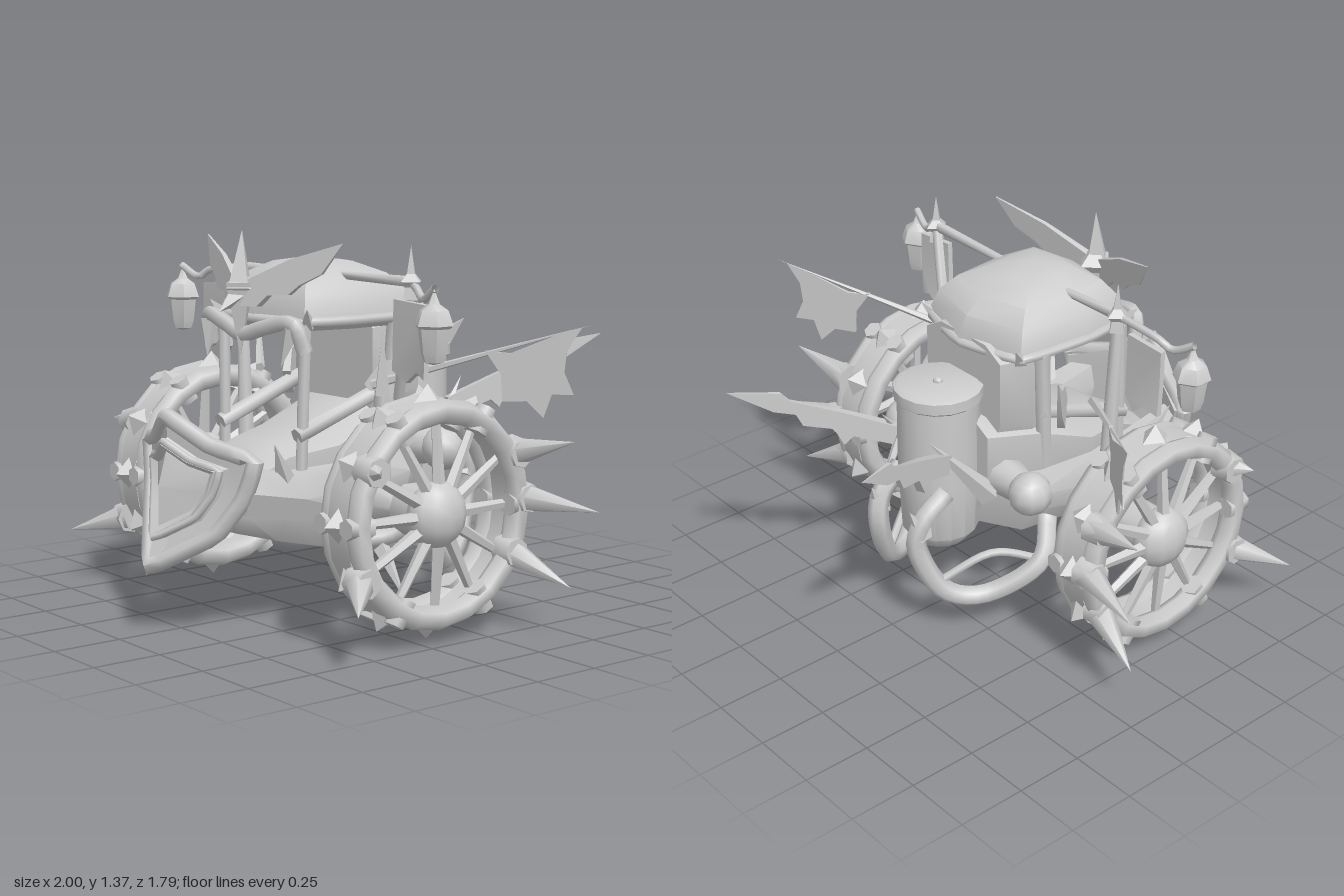
import * as THREE from 'three';
import { toCreasedNormals } from 'three/addons/utils/BufferGeometryUtils.js';

const V = (p) => new THREE.Vector3(...p);

export function createModel() {
  const root = new THREE.Group();
  root.name = 'warChariot';
  const grey = new THREE.MeshStandardMaterial({ color: 0xcccccc, side: THREE.DoubleSide });

  // ---- helpers ----
  const add = (parent, name, geo, crease = 0.7) => {
    const m = new THREE.Mesh(toCreasedNormals(geo, crease), grey);
    m.name = name;
    parent.add(m);
    return m;
  };
  const group = (parent, name) => {
    const g = new THREE.Group();
    g.name = name;
    parent.add(g);
    return g;
  };
  // tapered rod from a to b
  const rod = (parent, name, a, b, ra, rb = ra, sides = 6) => {
    const A = V(a), d = V(b).sub(A), len = d.length();
    const geo = new THREE.CylinderGeometry(rb, ra, len, sides).translate(0, len / 2, 0);
    const m = add(parent, name, geo, 1.1);
    m.position.copy(A);
    m.quaternion.setFromUnitVectors(new THREE.Vector3(0, 1, 0), d.normalize());
    return m;
  };
  const spike = (parent, name, a, b, r, sides = 5) => rod(parent, name, a, b, r, 0, sides);
  const tube = (parent, name, pts, r, closed = false, tension = 0.5, segs = pts.length * 4) =>
    add(parent, name, new THREE.TubeGeometry(
      new THREE.CatmullRomCurve3(pts.map(V), closed, 'catmullrom', tension), segs, r, 6, closed), 1.1);
  // skin over closed rings of equal length, with end caps
  const loft = (rings) => {
    const n = rings[0].length, pos = rings.flat(2), idx = [], last = rings.length - 1;
    for (let i = 0; i < last; i++) for (let j = 0; j < n; j++) {
      const a = i * n + j, b = i * n + (j + 1) % n;
      idx.push(a, b, b + n, a, b + n, a + n);
    }
    for (let j = 1; j < n - 1; j++) {
      idx.push(0, j + 1, j, last * n, last * n + j, last * n + j + 1);
    }
    const g = new THREE.BufferGeometry();
    g.setAttribute('position', new THREE.Float32BufferAttribute(pos, 3));
    g.setIndex(idx);
    return g;
  };
  const plate = (pts, depth) => new THREE.ExtrudeGeometry(
    new THREE.Shape(pts.map((p) => new THREE.Vector2(...p))), { depth, bevelEnabled: false }).translate(0, 0, -depth / 2);
  const bend = (geo, rule) => {
    const p = geo.attributes.position;
    for (let i = 0; i < p.count; i++) p.setZ(i, rule(p.getX(i), p.getY(i), p.getZ(i)));
    return geo;
  };
  // plate whose local x axis runs from a to b, thinning towards b
  const plateAlong = (parent, name, pts, depth, a, b) => {
    const x = V(b).sub(V(a)), len = x.length();
    x.normalize();
    const z = new THREE.Vector3().crossVectors(x, new THREE.Vector3(0, 1, 0)).normalize();
    const y = new THREE.Vector3().crossVectors(z, x);
    const m = add(parent, name, bend(plate(pts, depth), (px, py, pz) => pz * Math.max(0.05, 1 - px / len)));
    m.quaternion.setFromRotationMatrix(new THREE.Matrix4().makeBasis(x, y, z));
    m.position.copy(V(a));
  };

  // ---- hull, seat back and nose ----
  const section = (z, w, y0, y1) => {
    const c = w * 0.4, h = (y1 - y0) * 0.35;
    return [[w - c, y0, z], [w, y0 + h, z], [w, y1 - h * 0.3, z], [w - c, y1, z],
      [c - w, y1, z], [-w, y1 - h * 0.3, z], [-w, y0 + h, z], [c - w, y0, z]];
  };
  add(root, 'hull', loft([section(-0.2, 0.19, 0.4, 0.82), section(0, 0.25, 0.29, 0.8), section(0.25, 0.25, 0.26, 0.68),
    section(0.43, 0.2, 0.3, 0.64), section(0.58, 0.15, 0.34, 0.54), section(0.66, 0.09, 0.4, 0.5)]), 0.9);
  add(root, 'seatBack', loft([section(-0.15, 0.2, 0.65, 1.1), section(-0.02, 0.23, 0.6, 1.1), section(0.07, 0.21, 0.6, 1.08)]));

  // ---- roof ----
  const outline = [[0.28, 0.2], [0.25, -0.1], [0, -0.17], [-0.25, -0.1], [-0.28, 0.2], [-0.25, 0.4], [0, 0.44], [0.25, 0.4]];
  const roofRing = (s, y) => outline.map(([x, z]) => [x * s, y, 0.19 + (z - 0.19) * s]);
  add(root, 'roof', loft([roofRing(0.92, 1.04), roofRing(1, 1.06), roofRing(0.98, 1.1), roofRing(0.9, 1.165),
    roofRing(0.72, 1.22), roofRing(0.4, 1.262), roofRing(0.02, 1.278)]), 0.6);
  tube(root, 'roofRim', roofRing(0.98, 1.07), 0.018, true, 0.1, 32);
  tube(root, 'frontBeam', [[-0.28, 0.97, 0.42], [-0.25, 1.07, 0.45], [-0.12, 1.05, 0.47], [0, 1.02, 0.48],
    [0.12, 1.05, 0.47], [0.25, 1.07, 0.45], [0.28, 0.97, 0.42]], 0.028);

  // ---- winged crest above the front beam ----
  const crest = group(root, 'crest');
  spike(crest, 'crestTop', [0, 1.2, 0.49], [0, 1.38, 0.48], 0.045, 4);
  spike(crest, 'crestTail', [0, 1.2, 0.49], [0, 0.94, 0.49], 0.06, 4);
  spike(crest, 'crestBeak', [0, 1.17, 0.48], [0, 1.1, 0.58], 0.05, 4);
  add(crest, 'crestBody', new THREE.OctahedronGeometry(0.07).translate(0, 1.18, 0.48));

  // ---- rear barrel ----
  const barrel = add(root, 'barrel', new THREE.LatheGeometry([[0, 0.31], [0.1, 0.32], [0.14, 0.37], [0.15, 0.6], [0.148, 0.89],
    [0.16, 0.9], [0.16, 0.94], [0.14, 0.95], [0, 0.95]].map((p) => new THREE.Vector2(...p)), 16));
  barrel.position.z = -0.265;
  add(root, 'barrelKnob', new THREE.SphereGeometry(0.018, 8, 6).translate(0, 0.95, -0.265));

  // ---- pointed prow shield ----
  const prow = group(root, 'prowShield');
  const rim = [[0, 0.76, 0.8], [-0.16, 0.67, 0.73], [-0.32, 0.63, 0.66], [-0.28, 0.5, 0.68], [-0.2, 0.37, 0.74],
    [0, 0.25, 0.87], [0.2, 0.37, 0.74], [0.28, 0.5, 0.68], [0.32, 0.63, 0.66], [0.16, 0.67, 0.73]];
  const inset = (s, dz) => rim.map(([x, y, z]) => [x * s, 0.52 + (y - 0.52) * s, 0.825 + (z - 0.825) * s + dz]);
  add(prow, 'shieldPlate', loft([inset(0.92, -0.04), inset(0.98, 0), inset(0.7, -0.01), inset(0.6, 0.015),
    inset(0.5, -0.01), inset(0.02, 0.01)]), 0.4);
  tube(prow, 'shieldRim', rim, 0.03, true, 0.1, 40);
  tube(prow, 'shieldInnerRim', inset(0.64, 0.005), 0.014, true, 0.1, 40);
  spike(prow, 'shieldTip', [0, 0.34, 0.82], [0, 0.22, 0.89], 0.045, 4);

  // ---- parts repeated on both sides ----
  const buildSide = (s) => {
    const g = group(root, s > 0 ? 'leftSide' : 'rightSide');
    g.scale.x = s;

    // wheel: two rims, tread, studs, spokes, dome
    const wheel = group(g, 'wheel');
    wheel.position.set(0.635, 0.45, 0.18);
    for (const x of [-0.068, 0.068]) {
      add(wheel, 'rim', new THREE.TorusGeometry(0.35, 0.042, 6, 20).rotateY(Math.PI / 2).translate(x, 0, 0), 1.1);
    }
    add(wheel, 'tread', new THREE.CylinderGeometry(0.385, 0.385, 0.1, 20, 1, true).rotateZ(Math.PI / 2));
    add(wheel, 'treadInside', new THREE.CylinderGeometry(0.33, 0.33, 0.12, 20, 1, true).rotateZ(Math.PI / 2));
    const at = (x, r, a) => [x, r * Math.cos(a), r * Math.sin(a)];
    for (let i = 0; i < 12; i++) {
      const a = (i / 12) * Math.PI * 2;
      rod(wheel, 'spoke', at(0.06, 0.08, a), at(0.04, 0.34, a), 0.024, 0.015, 5);
      spike(wheel, 'stud', at(0, 0.36, a), at(0, 0.435, a), 0.075, 4);
      if (i % 2) for (const x of [-0.068, 0.068]) {
        rod(wheel, 'rimClamp', at(x, 0.305, a), at(x, 0.4, a), 0.042, 0.036, 6);
      }
    }
    add(wheel, 'hub', new THREE.CylinderGeometry(0.09, 0.09, 0.18, 10).rotateZ(Math.PI / 2));
    add(wheel, 'hubDome', new THREE.SphereGeometry(0.115, 12, 8).scale(0.7, 1, 1).translate(0.05, 0, 0), 1);

    // outward wheel spikes
    for (const [a, b] of [[[0.63, -0.15], [0.95, 0.69, -0.2]], [[0.47, -0.19], [1, 0.45, -0.27]], [[0.29, -0.13], [0.94, 0.19, -0.2]],
      [[0.27, 0.52], [0.88, 0.21, 0.67]], [[0.63, 0.48], [0.8, 0.64, 0.52]]]) {
      spike(g, 'wheelSpike', [0.7, ...a], b, 0.055, 6);
      rod(g, 'spikeCollar', [0.68, ...a], [0.75, ...a], 0.06, 0.05, 7);
    }

    // axle with swollen collar
    rod(g, 'axle', [0.2, 0.45, 0.18], [0.6, 0.45, 0.18], 0.04, 0.04, 8);
    rod(g, 'axleCollar', [0.3, 0.45, 0.18], [0.41, 0.45, 0.18], 0.04, 0.08, 8);
    rod(g, 'axleCone', [0.41, 0.45, 0.18], [0.54, 0.45, 0.18], 0.08, 0.035, 8);

    // broad side arms carrying the prow
    const armRing = (z, x0, x1, y0, y1) => [[x1 - 0.03, y0, z], [x1, (y0 + y1) / 2, z], [x1 - 0.03, y1, z],
      [x0 + 0.02, y1, z], [x0, (y0 + y1) / 2, z], [x0 + 0.02, y0, z]];
    add(g, 'sideArm', loft([armRing(-0.05, 0.18, 0.28, 0.44, 0.6), armRing(0.2, 0.18, 0.32, 0.4, 0.58),
      armRing(0.45, 0.18, 0.33, 0.4, 0.56), armRing(0.67, 0.18, 0.31, 0.44, 0.6)]));
    spike(g, 'armThorn', [0.27, 0.54, 0.5], [0.32, 0.68, 0.58], 0.04);

    // cabin posts and bladed side guards
    rod(g, 'frontPost', [0.23, 0.55, 0.4], [0.24, 1.07, 0.39], 0.022);
    rod(g, 'rearPost', [0.23, 0.6, 0.03], [0.25, 1.07, 0.0], 0.03);
    rod(g, 'cabinRail', [0.23, 0.68, 0.42], [0.24, 0.84, 0.0], 0.03);
    plateAlong(g, 'sideBlade', [[0, -0.06], [0.1, -0.03], [0.24, 0.06], [0.14, 0.05], [0.09, 0.08], [0, 0.05]], 0.03,
      [0.25, 0.8, 0.1], [0.4, 0.97, -0.07]);
    spike(g, 'beamFang', [0.24, 1.05, 0.45], [0.22, 0.92, 0.48], 0.035, 4);
    spike(g, 'eaveSpike', [0.24, 1.06, 0.38], [0.29, 1.12, 0.42], 0.03, 4);
    spike(g, 'eaveSpikeRear', [0.23, 1.06, -0.08], [0.26, 1.12, -0.13], 0.03, 4);

    // rear pots and underslung loops
    add(g, 'pot', new THREE.SphereGeometry(0.08, 10, 8).translate(0.35, 0.6, -0.14), 1);
    rod(g, 'potNeck', [0.16, 0.6, -0.12], [0.34, 0.6, -0.14], 0.08, 0.055, 8);
    tube(g, 'underLoop', [[0.27, 0.4, 0.02], [0.34, 0.28, -0.08], [0.24, 0.165, -0.24], [0.16, 0.2, -0.38], [0.11, 0.38, -0.46],
      [0.12, 0.5, -0.44], [0.13, 0.58, -0.34]], 0.038);
    tube(g, 'loopBrace', [[0.33, 0.28, -0.06], [0.24, 0.33, -0.22], [0.15, 0.24, -0.38]], 0.016);
    spike(g, 'loopThorn', [0.12, 0.44, -0.44], [0.11, 0.55, -0.49], 0.04, 5);
    spike(g, 'rearGuard', [0.2, 0.55, -0.2], [0.13, 0.82, -0.42], 0.045, 4);

    // swept tail blades
    plateAlong(g, 'tailBlade', [[0, -0.045], [0.15, -0.05], [0.17, -0.09], [0.23, -0.04], [0.34, -0.055], [0.38, -0.02], [0.46, -0.03],
      [0.645, 0], [0.46, 0.045], [0.42, 0.025], [0.2, 0.03], [0, 0.025]], 0.045, [0.14, 0.72, -0.35], [0.39, 0.97, -0.9]);

    // torn flag on a slanted pole
    const p0 = [0.33, 0.85, 0.17], p1 = [0.96, 1.08, -0.27];
    spike(g, 'flagPole', p0, p1, 0.018);
    plateAlong(g, 'flag', [[0.42, 0.01], [0.5, -0.02], [0.68, 0.0], [0.76, 0.0], [0.69, -0.06], [0.66, -0.13], [0.67, -0.21],
      [0.6, -0.19], [0.55, -0.26], [0.51, -0.19], [0.43, -0.17], [0.45, -0.08]], 0.03, p0, p1);

    // crest wing, swept back
    const wing = plate([[0.02, 1.2], [0.2, 1.285], [0.4, 1.345], [0.33, 1.24], [0.25, 1.2], [0.21, 1.165],
      [0.13, 1.16], [0.09, 1.12], [0.02, 1.12]], 0.03);
    add(g, 'crestWing', bend(wing, (x, y, z) => z * (1 - 2 * x) + 0.49 - 0.3 * x + (1.2 - y) * 0.15));

    // yard arm with lantern and banner
    const node = s > 0 ? 0.56 : 0.42, bx = s > 0 ? 0.585 : 0.545;
    rod(g, 'yardArm', [0.16, 1.22, 0.18], [node, 1.22, 0.19], 0.014, 0.02);
    tube(g, 'yardHook', [[node, 1.22, 0.19], [0.6, 1.2, 0.2], [0.66, 1.17, 0.22], [0.74, 1.21, 0.24]], 0.014);
    spike(g, 'yardFinial', [node, 1.16, 0.19], [node, 1.34, 0.19], 0.035, 4);
    add(g, 'yardKnot', new THREE.OctahedronGeometry(0.045).translate(node, 1.22, 0.19));
    const cloth = plate([[-0.08, 1.16], [0.08, 1.15], [0.08, 1.02], [0.075, 0.9], [0.02, 0.92], [-0.03, 0.88], [-0.085, 0.92]], 0.02);
    add(g, 'banner', bend(cloth, (x, y, z) => z + 0.19 + Math.abs(x) * 0.25).translate(bx, 0, 0));
    const lantern = add(g, 'lantern', new THREE.LatheGeometry([[0, 0.96], [0.035, 0.97], [0.045, 1.0], [0.055, 1.08], [0.068, 1.09],
      [0.05, 1.14], [0.02, 1.16], [0, 1.21]].map((q) => new THREE.Vector2(...q)), 6));
    lantern.position.set(0.735, 0, 0.24);

    // stay between hull and wheel
    tube(g, 'stay', [[0.25, 0.34, 0.2], [0.38, 0.3, 0.36], [0.47, 0.24, 0.42], [0.56, 0.24, 0.38]], 0.009);
  };
  buildSide(1);
  buildSide(-1);

  // ---- uneven staffs beside the cabin ----
  rod(root, 'rightStaff', [-0.4, 0.45, 0.18], [-0.42, 1.24, 0.19], 0.035, 0.018);
  rod(root, 'leftStaff', [0.39, 0.45, 0.18], [0.395, 0.82, 0.18], 0.04, 0.028);
  spike(root, 'leftStaffTip', [0.395, 0.82, 0.18], [0.4, 1.04, 0.18], 0.028);
  rod(root, 'leftYardPost', [0.39, 0.8, 0.1], [0.56, 1.22, 0.19], 0.02);
  spike(root, 'lowSpur', [0.3, 0.26, 0.1], [0.48, 0.11, 0.14], 0.03, 4);
  return root;
}
